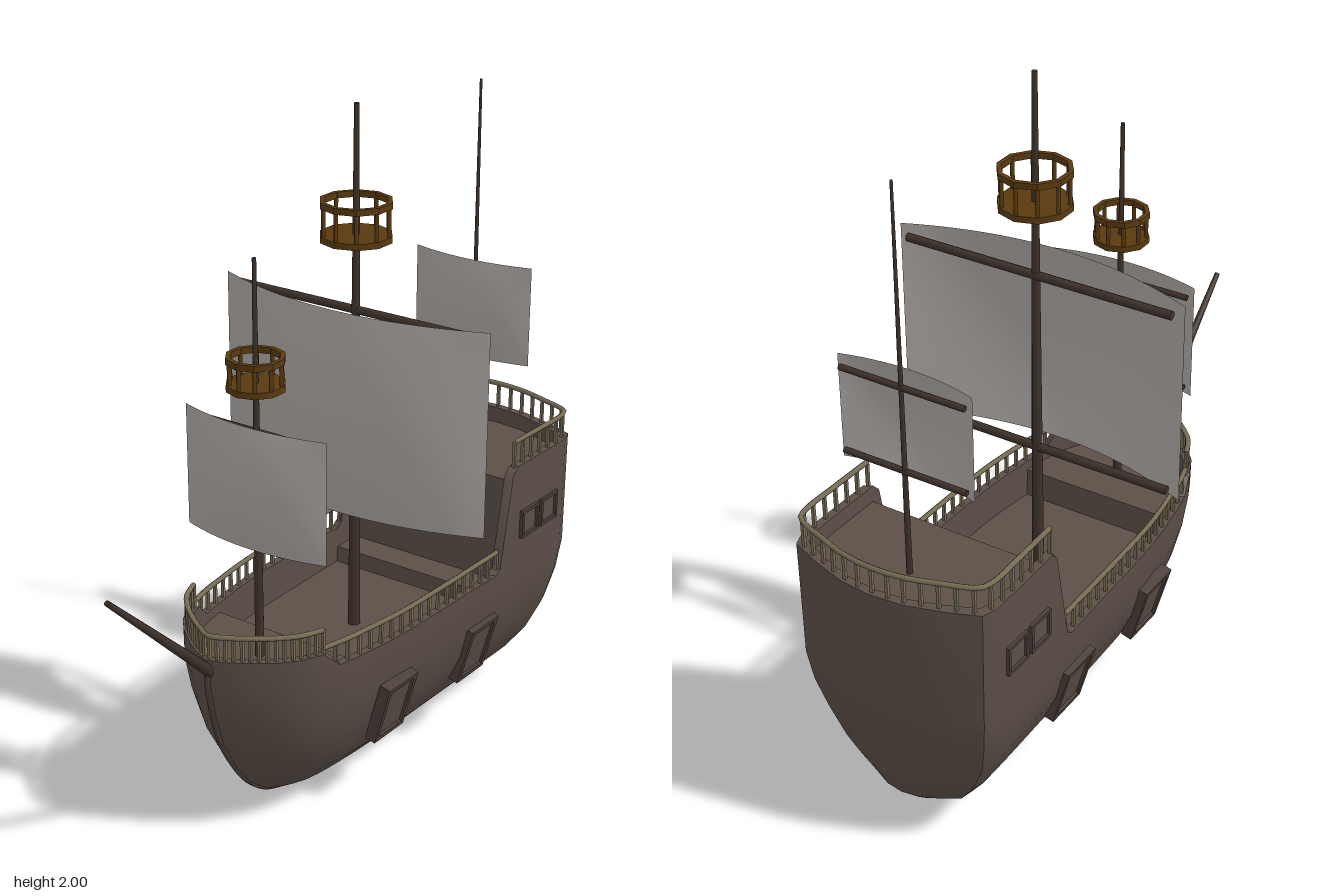
import * as THREE from 'three';
import { toCreasedNormals } from 'three/addons/utils/BufferGeometryUtils.js';

const paint = (color, side = THREE.FrontSide) => new THREE.MeshStandardMaterial({ color, side, roughness: 0.9 });
const HULL = paint(0x5c4f47), TRIM = paint(0x4a3f38), DARK = paint(0x2e2621), MAST = paint(0x3e322a);
const RAIL = paint(0x7a7058), NEST = paint(0x5a3a10), SAIL = paint(0xb0aaa6, THREE.DoubleSide);
const V = (x, y, z) => new THREE.Vector3(x, y, z);

// Hull stations from bow to stern centre: z, half width, rim height, deck height
const STATIONS = [
  [0.55, 0, 0.59, 0.51], [0.53, 0.05, 0.59, 0.51], [0.5, 0.1, 0.59, 0.51], [0.45, 0.165, 0.59, 0.51],
  [0.4, 0.21, 0.59, 0.51], [0.335, 0.24, 0.59, 0.51], [0.28, 0.255, 0.54, 0.51], [0.205, 0.27, 0.54, 0.51],
  [0.2, 0.27, 0.54, 0.42], [0.1, 0.285, 0.54, 0.42], [0, 0.295, 0.54, 0.42], [-0.15, 0.3, 0.54, 0.42],
  [-0.3, 0.303, 0.54, 0.42], [-0.445, 0.305, 0.535, 0.42], [-0.45, 0.305, 0.535, 0.47], [-0.47, 0.305, 0.55, 0.47],
  [-0.525, 0.306, 0.835, 0.47], [-0.55, 0.307, 0.86, 0.47], [-0.555, 0.307, 0.86, 0.81], [-0.7, 0.31, 0.86, 0.81],
  [-0.82, 0.31, 0.86, 0.81], [-0.862, 0.295, 0.86, 0.81], [-0.9, 0.2, 0.86, 0.81], [-0.93, 0.1, 0.86, 0.81],
  [-0.94, 0, 0.86, 0.81],
];
// Waterlines from keel up: y, width factor, bow z, stern z
const LEVELS = [
  [0, 0.05, 0.1, -0.66], [0.02, 0.16, 0.2, -0.71], [0.06, 0.34, 0.31, -0.79], [0.12, 0.53, 0.385, -0.85],
  [0.2, 0.72, 0.445, -0.88], [0.3, 0.87, 0.5, -0.9], [0.4, 0.95, 0.53, -0.925], [0.5, 0.99, 0.55, -0.94],
];

function add(parent, name, geometry, material, pos = V(0, 0, 0)) {
  const mesh = new THREE.Mesh(geometry, material);
  mesh.name = name;
  mesh.position.copy(pos);
  parent.add(mesh);
  return mesh;
}

// Tapered round bar between two points
function bar(parent, name, a, b, r0, r1, material, sides = 8) {
  const mesh = add(parent, name, new THREE.CylinderGeometry(r1, r0, a.distanceTo(b), sides), material,
    a.clone().lerp(b, 0.5));
  mesh.quaternion.setFromUnitVectors(V(0, 1, 0), b.clone().sub(a).normalize());
  return mesh;
}

// Outer skin, rim, inner bulwark and decks lofted as one surface
function hullGeometry() {
  const rows = STATIONS.map(([z, x, top, deck]) => {
    const s = (0.55 - z) / 1.49;
    const skin = LEVELS.map(([y, w, bow, stern]) => [x * w, y, bow + (stern - bow) * s]);
    const zi = -0.195 + (z + 0.195) * 0.965, xi = x * 0.92;
    return [[0, 0, skin[0][2]], ...skin, [x, top, z], [xi, top, zi], [xi, deck, zi], [0, deck, zi]];
  });
  const pos = [];
  for (const side of [1, -1]) {
    const tri = (...p) => (side > 0 ? p : p.reverse()).forEach(([x, y, z]) => pos.push(x * side, y, z));
    for (let i = 0; i < rows.length - 1; i++) {
      for (let j = 0; j < rows[i].length - 1; j++) {
        const a = rows[i][j], b = rows[i + 1][j], c = rows[i + 1][j + 1], d = rows[i][j + 1];
        tri(a, b, c);
        tri(a, c, d);
      }
    }
  }
  const g = new THREE.BufferGeometry();
  g.setAttribute('position', new THREE.Float32BufferAttribute(pos, 3));
  return toCreasedNormals(g, 0.6);
}

// Handrail with evenly spaced posts standing on the rim
function railing(parent, name, points, base, height, count) {
  const group = new THREE.Group();
  group.name = name;
  parent.add(group);
  const curve = new THREE.CatmullRomCurve3(points, false, 'centripetal');
  add(group, 'handrail', new THREE.TubeGeometry(curve, 48, 0.008, 5), RAIL, V(0, base + height, 0));
  curve.getSpacedPoints(count).forEach((p) =>
    add(group, 'railPost', new THREE.BoxGeometry(0.009, height, 0.009), RAIL, V(p.x, base + height / 2, p.z)));
}

// Framed opening on the hull side
function port(parent, name, side, x, y, z, w, h, t, tilt) {
  const group = new THREE.Group();
  group.name = name;
  group.position.set(side * x, y, z);
  group.rotation.z = -side * tilt;
  parent.add(group);
  for (const k of [-1, 1]) {
    add(group, 'frameSide', new THREE.BoxGeometry(0.035, h, t), TRIM, V(0, 0, k * (w - t) / 2));
    add(group, 'frameEdge', new THREE.BoxGeometry(0.035, t, w), TRIM, V(0, k * (h - t) / 2, 0));
  }
  add(group, 'portPanel', new THREE.BoxGeometry(0.018, h - t, w - t), HULL);
}

// Billowing sail with a yard along its top and bottom
function sail(parent, name, half, y0, y1, z, bulge, belly, yardR) {
  const group = new THREE.Group();
  group.name = name;
  parent.add(group);
  const g = new THREE.PlaneGeometry(2, 2, 24, 12), p = g.attributes.position;
  for (let i = 0; i < p.count; i++) {
    const u = p.getX(i), v = p.getY(i);
    p.setXYZ(i, u * half, (y0 + y1) / 2 + v * (y1 - y0) / 2, z + (1 - u * u) * (bulge + belly * (1 - v * v)));
  }
  g.computeVertexNormals();
  add(group, 'canvas', g, SAIL);
  for (const y of [y0 + 0.03, y1 - 0.03]) {
    bar(group, 'yard', V(-half * 0.93, y, z - 0.012), V(half * 0.93, y, z - 0.012), yardR, yardR, MAST);
  }
}

// Round lookout platform
function crowsNest(parent, name, y0, y1, z, r) {
  const group = new THREE.Group();
  group.name = name;
  group.position.set(0, 0, z);
  parent.add(group);
  const h = 0.018, n = 10;
  add(group, 'nestFloor', new THREE.CylinderGeometry(r, r, h, n), NEST, V(0, y0 + h / 2, 0));
  const ring = [[r - 0.014, 0], [r, 0], [r, h], [r - 0.014, h], [r - 0.014, 0]].map(([a, b]) => new THREE.Vector2(a, b));
  add(group, 'nestRim', toCreasedNormals(new THREE.LatheGeometry(ring, n), 0.3), NEST, V(0, y1 - h, 0));
  for (let i = 0; i < n; i++) {
    const a = (i / n) * Math.PI * 2, q = r - 0.01;
    add(group, 'nestPost', new THREE.CylinderGeometry(0.006, 0.006, y1 - y0 - h, 6), NEST,
      V(Math.sin(a) * q, (y0 + y1) / 2, Math.cos(a) * q));
  }
}

export function createModel() {
  const ship = new THREE.Group();
  ship.name = 'sailingShip';

  // Hull and its fittings
  const hull = new THREE.Group();
  hull.name = 'hullGroup';
  hull.position.x = -0.012;
  ship.add(hull);
  add(hull, 'hull', hullGeometry(), HULL);
  const stem = new THREE.CatmullRomCurve3([...LEVELS.slice(1).map(([y, , bow]) => V(0, y + 0.005, bow - 0.004)), V(0, 0.58, 0.546)]);
  add(hull, 'stem', new THREE.TubeGeometry(stem, 24, 0.01, 6), TRIM);

  for (const side of [1, -1]) {
    for (const z of [0.04, -0.395]) port(hull, 'gunPort', side, 0.265, 0.305, z, 0.145, 0.195, 0.016, 0.27);
    for (const z of [-0.62, -0.73]) port(hull, 'sternWindow', side, 0.3, 0.66, z, 0.095, 0.09, 0.01, 0);
  }

  // Railings follow the rim
  const rim = (zMax, zMin, side) => STATIONS.filter(([z]) => z <= zMax && z >= zMin)
    .map(([z, x]) => V(side * x * 0.96, 0, -0.195 + (z + 0.195) * 0.982));
  for (const side of [1, -1]) railing(hull, 'waistRail', rim(0.34, -0.48, side), 0.535, 0.07, 18);
  railing(hull, 'bowRail', [...rim(0.55, 0.33, -1).reverse(), ...rim(0.549, 0.33, 1)], 0.585, 0.075, 28);
  railing(hull, 'sternRail', [...rim(-0.55, -0.95, 1), ...rim(-0.55, -0.935, -1).reverse()], 0.855, 0.083, 26);

  // Masts, bowsprit and rigging
  const rig = new THREE.Group();
  rig.name = 'rigging';
  rig.position.x = -0.005;
  ship.add(rig);
  bar(rig, 'mainMast', V(0, 0.4, -0.13), V(0, 2, -0.13), 0.019, 0.008, MAST, 10);
  bar(rig, 'foreMast', V(0, 0.48, 0.325), V(0, 1.68, 0.325), 0.014, 0.006, MAST, 10);
  bar(rig, 'mizzenMast', V(0, 0.8, -0.755), V(0, 1.95, -0.755), 0.009, 0.004, MAST, 10);
  bar(rig, 'bowsprit', V(-0.005, 0.52, 0.505), V(-0.005, 0.925, 0.935), 0.018, 0.008, MAST, 10);

  sail(rig, 'mainSail', 0.453, 0.83, 1.44, -0.12, 0.1, 0.035, 0.013);
  sail(rig, 'foreSail', 0.24, 0.86, 1.22, 0.333, 0.038, 0.027, 0.009);
  sail(rig, 'mizzenSail', 0.205, 1.1, 1.41, -0.742, 0.03, 0.022, 0.009);
  crowsNest(rig, 'mainCrowsNest', 1.615, 1.73, -0.13, 0.105);
  crowsNest(rig, 'foreCrowsNest', 1.315, 1.41, 0.325, 0.083);
  return ship;
}
